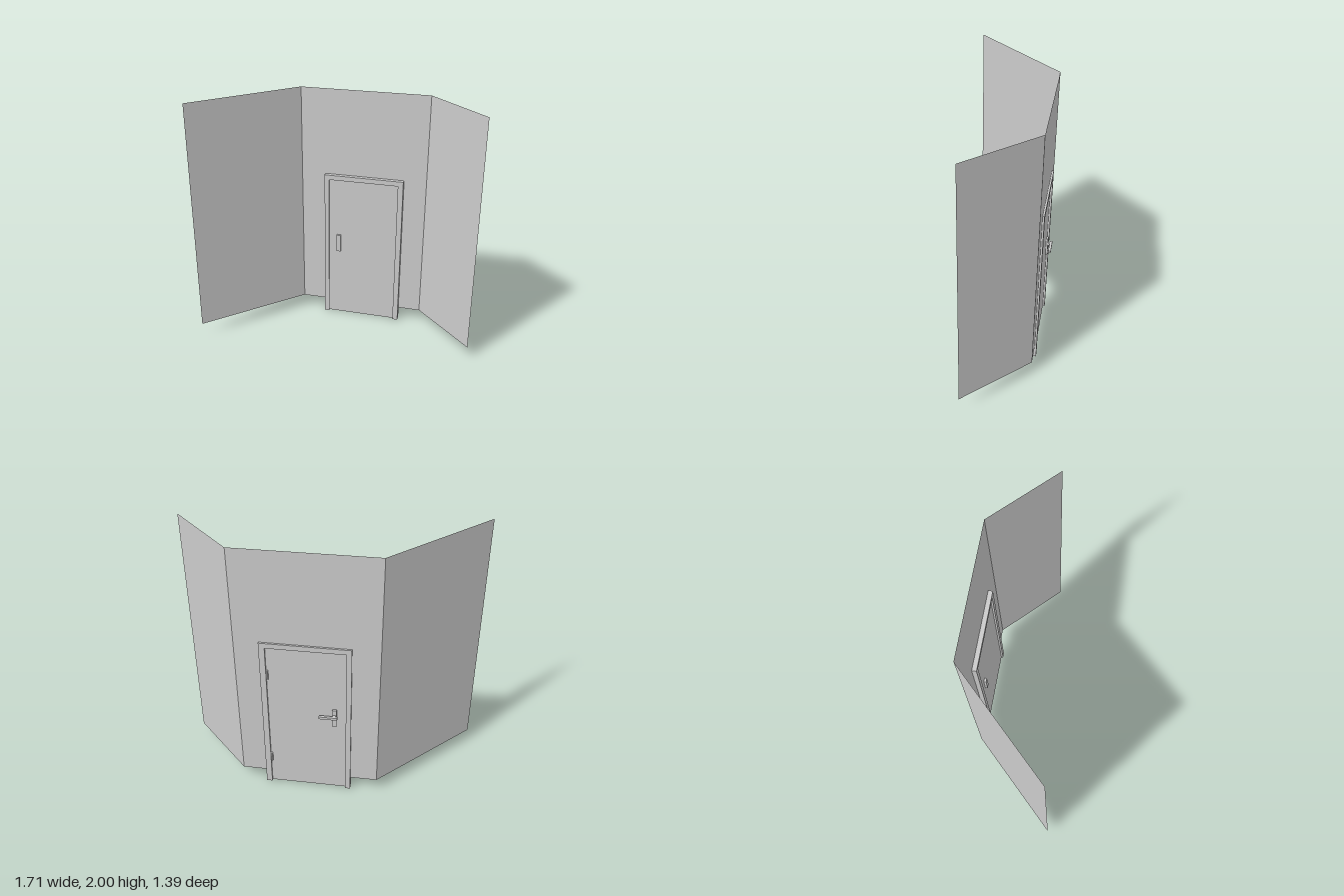
import * as THREE from 'three';

const grey = new THREE.MeshStandardMaterial({ color: 0xcccccc, flatShading: true });
const sheet = new THREE.MeshStandardMaterial({ color: 0xcccccc, flatShading: true, side: THREE.DoubleSide });

const WALL_LOW = 0.105, WALL_TOP = 2;
// Plan corners of the three wall panels (x, z)
const PLAN = [[-0.855, -0.69], [0.122, -0.69], [0.853, 0.04], [0.853, 0.695]];
// Door frame: outer sides, opening sides, heights
const FRAME = { x0: -0.202, x1: 0.451, in0: -0.164, in1: 0.408, top: 1.29, inTop: 1.25 };
// Depths along the door axis
const FRAME_BACK = -0.588, FRAME_FRONT = -0.538, LEAF_BACK = -0.573, LEAF_FRONT = -0.553;
const WALL_Z = -0.574;

function add(parent, name, geometry, material = grey) {
  const mesh = new THREE.Mesh(geometry, material);
  mesh.name = name;
  parent.add(mesh);
  return mesh;
}

// Box given by its minimum and maximum corners
function block(parent, name, [x0, y0, z0], [x1, y1, z1]) {
  const mesh = add(parent, name, new THREE.BoxGeometry(x1 - x0, y1 - y0, z1 - z0));
  mesh.position.set((x0 + x1) / 2, (y0 + y1) / 2, (z0 + z1) / 2);
  return mesh;
}

// Panel outline standing around a doorway that is open at the bottom
function archShape(x0, x1, low, top, in0, in1, inTop) {
  return new THREE.Shape([
    [x0, low], [in0, low], [in0, inTop], [in1, inTop], [in1, low], [x1, low], [x1, top], [x0, top],
  ].map(([x, y]) => new THREE.Vector2(x, y)));
}

function sideWall(parent, name, [ax, az], [bx, bz]) {
  const length = Math.hypot(bx - ax, bz - az);
  const wall = add(parent, name, new THREE.PlaneGeometry(length, WALL_TOP - WALL_LOW), sheet);
  wall.position.set((ax + bx) / 2, (WALL_LOW + WALL_TOP) / 2, (az + bz) / 2);
  wall.rotation.y = -Math.atan2(bz - az, bx - ax);
}

export function createModel() {
  const model = new THREE.Group();
  model.name = 'doorInAngledWall';

  // Two plain side walls
  sideWall(model, 'backWall', PLAN[0], PLAN[1]);
  sideWall(model, 'sideWall', PLAN[2], PLAN[3]);

  // Diagonal section: x runs along the wall, -z points to the outside
  const diagonal = new THREE.Group();
  diagonal.name = 'doorSection';
  diagonal.rotation.y = -Math.PI / 4;
  model.add(diagonal);

  // Wall with a doorway cut out
  const F = FRAME;
  const wall = add(diagonal, 'doorWall', new THREE.ShapeGeometry(
    archShape(-0.402, 0.632, WALL_LOW, WALL_TOP, F.x0, F.x1, F.top)), sheet);
  wall.position.z = WALL_Z;

  // Frame
  const frame = add(diagonal, 'doorFrame', new THREE.ExtrudeGeometry(
    archShape(F.x0, F.x1, 0, F.top, F.in0, F.in1, F.inTop),
    { depth: FRAME_FRONT - FRAME_BACK, bevelEnabled: false }));
  frame.position.z = FRAME_BACK;

  // Leaf
  block(diagonal, 'doorLeaf', [F.in0, 0.003, LEAF_BACK], [F.in1, F.inTop, LEAF_FRONT]);

  // Handle plates on both faces, lever on the outside only
  const hx = -0.08;
  block(diagonal, 'innerHandlePlate', [hx - 0.017, 0.605, LEAF_FRONT], [hx + 0.017, 0.755, LEAF_FRONT + 0.019]);
  block(diagonal, 'outerHandlePlate', [hx - 0.016, 0.605, LEAF_BACK - 0.015], [hx + 0.016, 0.755, LEAF_BACK]);
  block(diagonal, 'leverStem', [hx - 0.01, 0.692, -0.603], [hx + 0.01, 0.712, LEAF_BACK]);
  block(diagonal, 'lever', [-0.105, 0.692, -0.62], [0.03, 0.712, -0.601]);

  // Hinges on the outside, opposite the handle
  for (const y of [0.25, 1.02]) {
    const hinge = add(diagonal, 'hinge', new THREE.CylinderGeometry(0.008, 0.008, 0.075, 10));
    hinge.position.set(F.in1 - 0.008, y, LEAF_BACK - 0.007);
  }
  return model;
}
